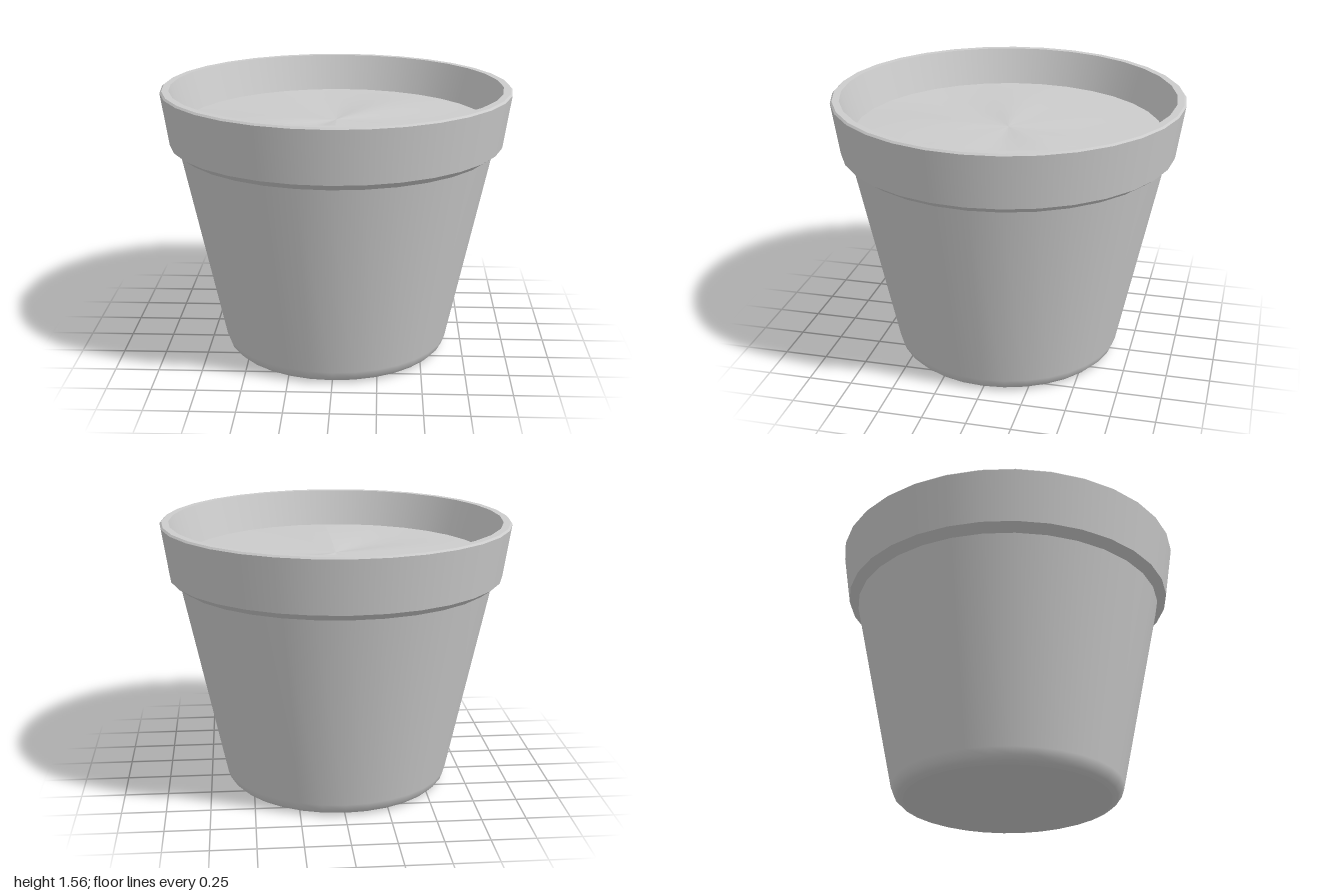
import * as THREE from 'three';

const SEGMENTS = 32;

export function createModel() {
  const model = new THREE.Group();
  model.name = 'flowerPot';
  const material = new THREE.MeshStandardMaterial({ color: 0xcccccc });

  // Each band is its own lathe, so the edges between bands stay sharp
  const addBand = (name, profile) => {
    const points = profile.map(([r, y]) => new THREE.Vector2(r, y));
    const mesh = new THREE.Mesh(new THREE.LatheGeometry(points, SEGMENTS), material);
    mesh.name = name;
    model.add(mesh);
    return mesh;
  };

  // Flat base with a rounded edge running into the tapered wall
  addBand('base', [[0, 0], [0.59, 0]]);
  addBand('body', [[0.59, 0], [0.622, 0.012], [0.645, 0.035], [0.66, 0.075], [0.9, 1.21]]);

  // Collar: sloped underside, outer face, small bevel, flat lip, inner wall
  addBand('collarUnderside', [[0.9, 1.21], [0.955, 1.25]]);
  addBand('collar', [[0.955, 1.25], [1, 1.55]]);
  addBand('lipBevel', [[1, 1.55], [0.99, 1.56]]);
  addBand('lip', [[0.99, 1.56], [0.95, 1.56]]);
  addBand('innerWall', [[0.95, 1.56], [0.885, 1.35]]);

  // Soil: almost flat, with faint ripples fading out at the rim and the middle
  const soil = addBand('soil', [[0.885, 1.35], [0.66, 1.355], [0.4, 1.36], [0.2, 1.362], [0, 1.362]]);
  const pos = soil.geometry.attributes.position;
  for (let i = 0; i < pos.count; i++) {
    const x = pos.getX(i), z = pos.getZ(i);
    const t = Math.hypot(x, z) / 0.885;
    const angle = Math.atan2(x, z);
    const ripple = Math.sin(3 * angle + 0.6) + 0.6 * Math.sin(5 * angle + 2);
    pos.setY(i, pos.getY(i) + 0.008 * ripple * 4 * t * (1 - t));
  }
  soil.geometry.computeVertexNormals();

  return model;
}
